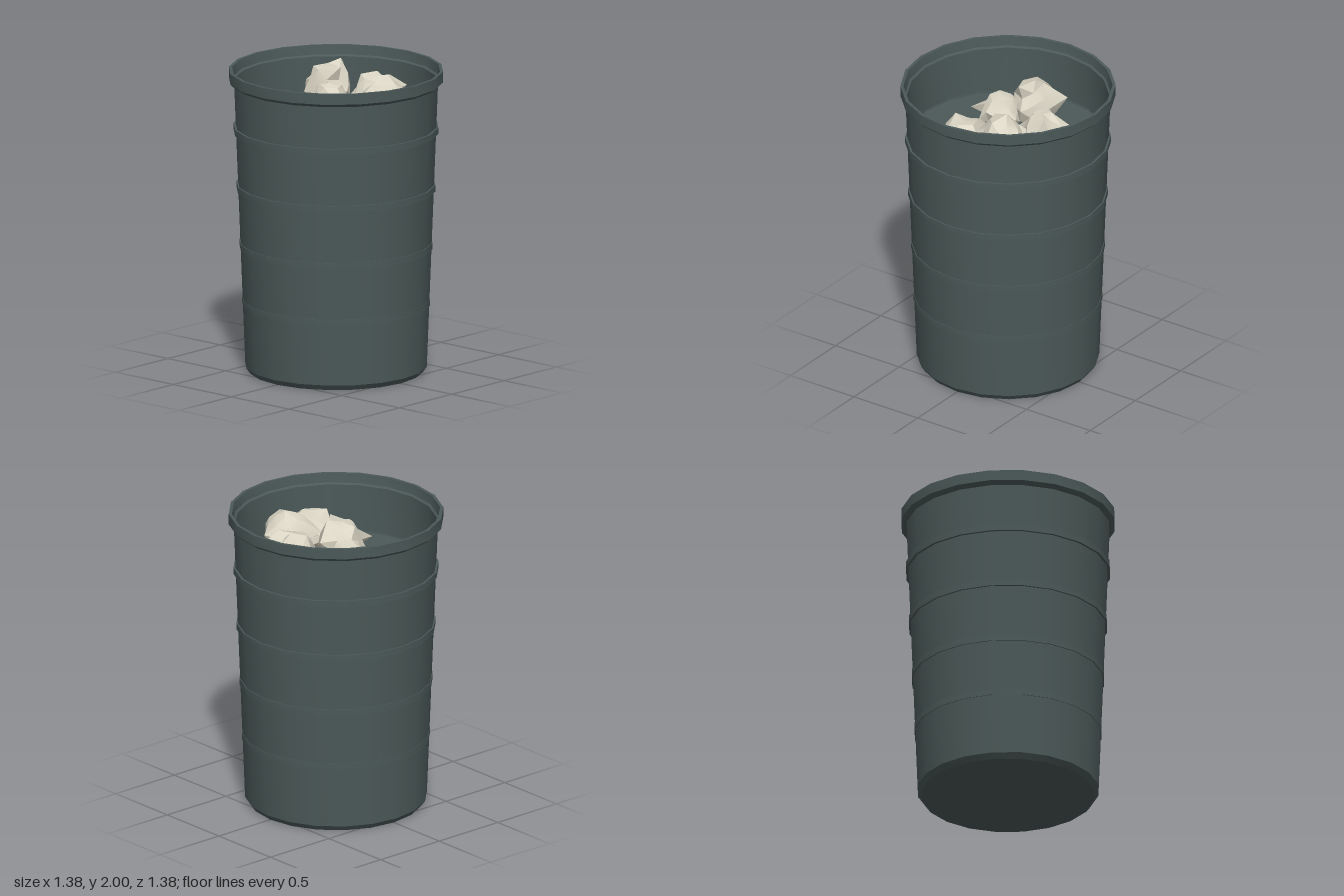
import * as THREE from 'three';
import { mergeVertices, toCreasedNormals } from 'three/addons/utils/BufferGeometryUtils.js';

const binGreen = new THREE.MeshStandardMaterial({ name: 'dark grey green', color: 0x4b5958 });
const paper = new THREE.MeshStandardMaterial({ name: 'paper cream', color: 0xdad5c4 });
const SIDES = 20;

function turned(name, profile) {
  const points = profile.map(([r, y]) => new THREE.Vector2(r, y));
  const geo = toCreasedNormals(new THREE.LatheGeometry(points, SIDES), 0.5);
  const mesh = new THREE.Mesh(geo, binGreen);
  mesh.name = name;
  return mesh;
}

function seeded(seed) {
  let s = seed;
  return () => (s = (s * 16807) % 2147483647) / 2147483647;
}

// Crumpled ball: a jittered icosphere with a few corners pulled out to points
function crumpledBall(name, seed, center, radius, corners) {
  const rand = seeded(seed * 7919 + 13);
  const c = new THREE.Vector3(...center);
  const base = new THREE.IcosahedronGeometry(1, 1);
  base.deleteAttribute('normal');
  base.deleteAttribute('uv');
  const geo = mergeVertices(base, 1e-3);
  geo.rotateY(seed * 1.3);
  const pos = geo.attributes.position;
  const dirs = [];
  const v = new THREE.Vector3();
  for (let i = 0; i < pos.count; i++) {
    dirs.push(v.fromBufferAttribute(pos, i).clone());
    v.multiplyScalar(radius * (0.85 + 0.28 * rand())).add(c);
    pos.setXYZ(i, v.x, v.y, v.z);
  }
  const used = new Set();
  for (const corner of corners) {
    const dir = new THREE.Vector3(...corner).sub(c).normalize();
    let best = -1;
    dirs.forEach((d, i) => {
      if (!used.has(i) && (best < 0 || d.dot(dir) > dirs[best].dot(dir))) best = i;
    });
    used.add(best);
    pos.setXYZ(best, ...corner);
  }
  const mesh = new THREE.Mesh(toCreasedNormals(geo, 0.45), paper);
  mesh.name = name;
  return mesh;
}

export function createModel() {
  const model = new THREE.Group();
  model.name = 'wasteBin';

  // Tapered wall with flared rim, stepped lip and raised inner floor
  model.add(turned('binBody', [
    [0, 0], [0.56, 0], [0.585, 0.035], [0.657, 1.89], [0.668, 1.89], [0.69, 1.91],
    [0.69, 1.98], [0.67, 1.98], [0.66, 1.92], [0.647, 1.91], [0.635, 1.6], [0, 1.6],
  ]));

  // Raised hoops, standing out further towards the top
  const hoops = new THREE.Group();
  hoops.name = 'hoops';
  [[0.455, 0.605], [0.83, 0.622], [1.21, 0.641], [1.59, 0.66]].forEach(([y, r]) => {
    hoops.add(turned('hoop', [
      [r - 0.03, y - 0.02], [r, y - 0.02], [r, y + 0.02], [r - 0.03, y + 0.02],
    ]));
  });
  model.add(hoops);

  // Crumpled paper lying on the inner floor
  const litter = new THREE.Group();
  litter.name = 'crumpledPaper';
  litter.add(
    crumpledBall('backBall', 1, [0.05, 1.76, -0.31], 0.145, [
      [-0.05, 1.8, -0.47], [0.18, 1.82, -0.48], [0.2, 1.77, -0.29], [0.06, 1.76, -0.13],
      [-0.11, 1.74, -0.24], [0.03, 1.91, -0.36], [0.13, 1.9, -0.37],
    ]),
    crumpledBall('leftwardBall', 2, [-0.16, 1.82, -0.1], 0.15, [
      [-0.21, 1.9, -0.32], [-0.35, 1.84, -0.1], [-0.25, 1.8, 0.03], [-0.02, 1.84, -0.14],
      [-0.13, 2.0, -0.19], [-0.02, 1.98, -0.07],
    ]),
    crumpledBall('middleBall', 3, [0, 1.77, 0.05], 0.13, [
      [-0.01, 1.73, 0.3], [-0.18, 1.77, 0.05], [0.14, 1.81, 0.02], [0.13, 1.74, 0.14],
      [0, 1.9, 0.06],
    ]),
    crumpledBall('rightwardBall', 4, [0.29, 1.79, -0.15], 0.145, [
      [0.32, 1.8, -0.33], [0.47, 1.8, -0.19], [0.38, 1.8, 0.01], [0.13, 1.8, -0.01],
      [0.16, 1.81, -0.27], [0.28, 1.95, -0.19],
    ]),
    crumpledBall('frontBall', 5, [0.34, 1.72, 0.1], 0.15, [
      [0.51, 1.74, -0.04], [0.53, 1.71, 0.14], [0.39, 1.7, 0.26], [0.24, 1.72, 0.2],
      [0.13, 1.73, 0.06], [0.37, 1.85, 0.07],
    ]),
  );
  model.add(litter);
  return model;
}
